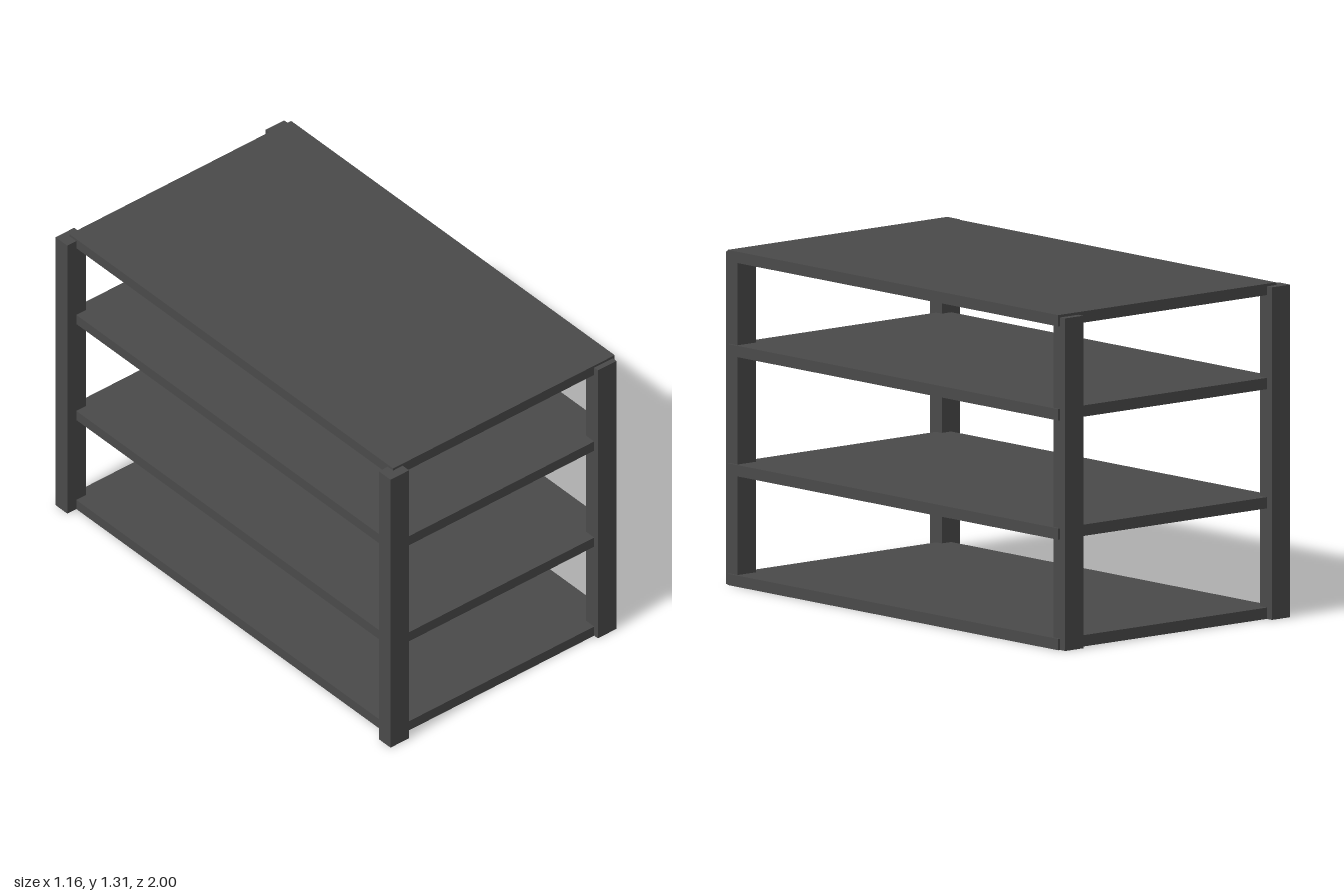
import * as THREE from 'three';

export function createModel() {
  const group = new THREE.Group();
  const material = new THREE.MeshStandardMaterial({ color: 0x4a4a4a });

  // Box given by its minimum and maximum corners
  function addBox(name, [x0, y0, z0], [x1, y1, z1]) {
    const mesh = new THREE.Mesh(new THREE.BoxGeometry(x1 - x0, y1 - y0, z1 - z0), material);
    mesh.position.set((x0 + x1) / 2, (y0 + y1) / 2, (z0 + z1) / 2);
    mesh.name = name;
    group.add(mesh);
  }

  // Four shelf boards, bottom to top
  const thickness = 0.044;
  [0, 0.431, 0.896, 1.263].forEach((y, i) =>
    addBox(`shelf${i + 1}`, [-0.535, y, -0.97], [0.577, y + thickness, 0.962]));

  // Corner posts: left edge x, back edge z
  const postWidth = 0.093, postDepth = 0.07, postHeight = 1.297;
  const posts = {
    frontRightPost: [-0.58, 0.93],
    frontLeftPost: [0.474, 0.914],
    backRightPost: [-0.58, -1],
    backLeftPost: [0.474, -1],
  };
  for (const [name, [x, z]] of Object.entries(posts))
    addBox(name, [x, 0, z], [x + postWidth, postHeight, z + postDepth]);

  return group;
}
